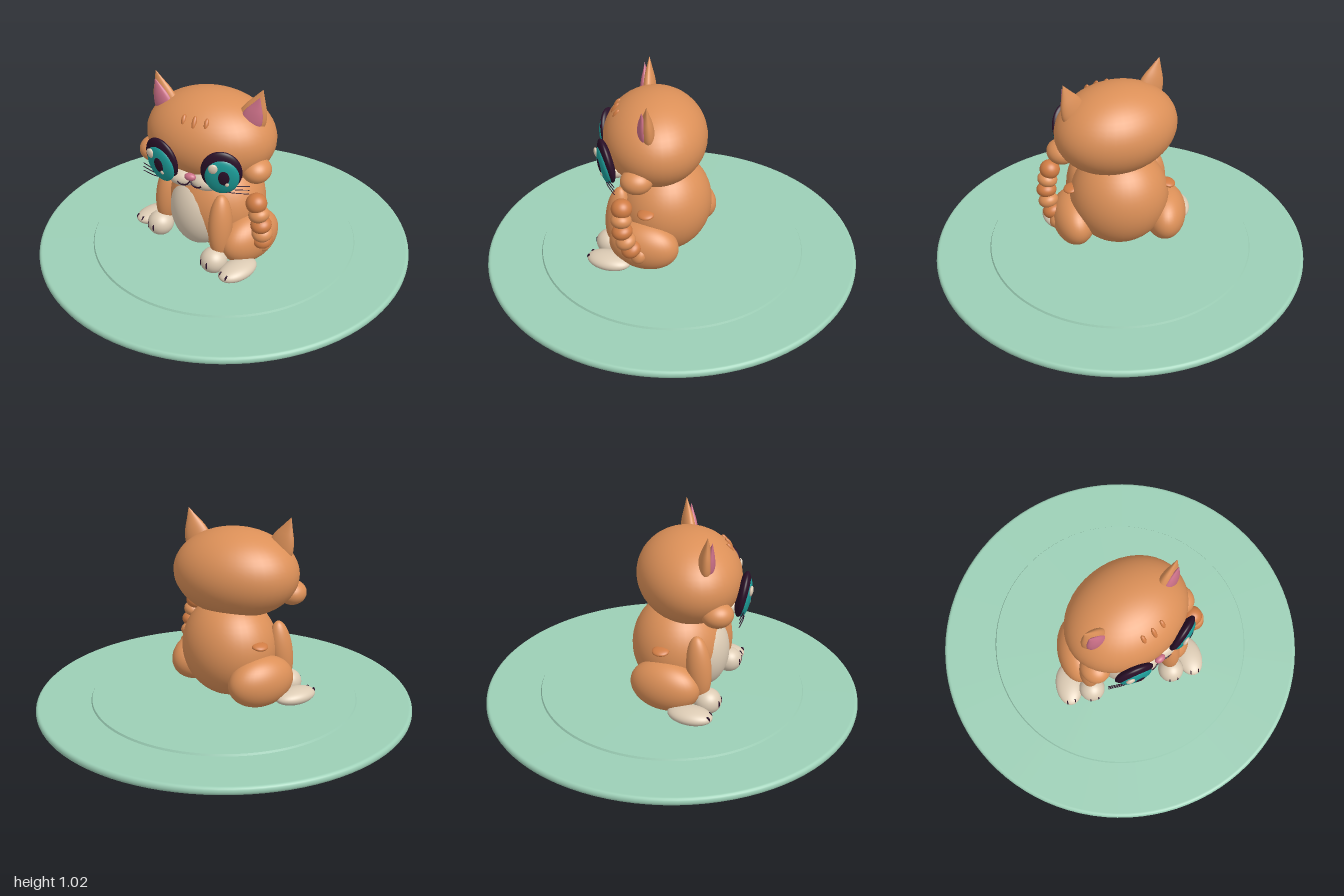
import * as THREE from 'three';

const mat = (name, color, side = THREE.FrontSide) => {
  const m = new THREE.MeshStandardMaterial({ color, side });
  m.name = name;
  return m;
};

export function createModel() {
  const orange = mat('orange fur', 0xdc9058);
  const darkOrange = mat('dark orange stripe', 0xd07c44);
  const cream = mat('cream fur', 0xdccbb4);
  const pink = mat('pink', 0xcc7088);
  const teal = mat('teal iris', 0x1c9c98);
  const dark = mat('dark plum', 0x2a1028);
  const mint = mat('mint plate', 0x9ccfb6);

  const model = new THREE.Group();
  model.name = 'kittenOnPlate';
  const ball = new THREE.SphereGeometry(1, 40, 28);

  const add = (parent, name, geometry, material, pos = [0, 0, 0], rot = [0, 0, 0], scale = [1, 1, 1]) => {
    const mesh = new THREE.Mesh(geometry, material);
    mesh.name = name;
    mesh.position.set(...pos);
    mesh.rotation.set(...rot);
    mesh.scale.set(...scale);
    parent.add(mesh);
    return mesh;
  };
  const blob = (parent, name, material, pos, radii, rot) => add(parent, name, ball, material, pos, rot, radii);
  const lathe = (points, segments) =>
    new THREE.LatheGeometry(points.map(([x, y]) => new THREE.Vector2(x, y)), segments);
  const tube = (points, radius) => new THREE.TubeGeometry(
    new THREE.CatmullRomCurve3(points.map(p => new THREE.Vector3(...p))), 16, radius, 6);

  // Plate with a rounded rim and a raised centre
  const rim = [[0, 0.004], [0.98, 0.004]];
  for (let i = 0; i <= 8; i++) {
    const a = -Math.PI / 2 + Math.PI * i / 8;
    rim.push([0.985 + 0.015 * Math.cos(a), 0.025 + 0.02 * Math.sin(a)]);
  }
  rim.push([0.98, 0.045], [0, 0.045]);
  add(model, 'plate', lathe(rim, 96), mint);
  add(model, 'plateCentre', new THREE.CylinderGeometry(0.705, 0.71, 0.01, 96), mint, [0, 0.05, 0]);
  add(model, 'plateFoot', new THREE.CylinderGeometry(0.43, 0.43, 0.006, 64), mint, [0, 0.003, 0]);

  // Body
  const body = new THREE.Group();
  body.name = 'body';
  model.add(body);
  blob(body, 'torso', orange, [0, 0.32, 0.04], [0.265, 0.27, 0.245]);
  blob(body, 'belly', cream, [0, 0.29, 0.17], [0.165, 0.2, 0.14]);

  // Limbs and side stripes, mirrored
  for (const s of [-1, 1]) {
    blob(body, 'haunch', orange, [s * 0.25, 0.19, 0.04], [0.115, 0.135, 0.19], [0, s * 0.12, 0]);
    blob(body, 'frontLeg', orange, [s * 0.218, 0.3, 0.21], [0.058, 0.175, 0.065], [-0.1, 0, s * 0.06]);
    blob(body, 'frontPaw', cream, [s * 0.225, 0.12, 0.26], [0.07, 0.068, 0.072]);
    blob(body, 'hindFoot', cream, [s * 0.342, 0.095, 0.2], [0.074, 0.043, 0.12], [0, s * 0.1, 0]);
    for (const t of [-0.022, 0.022]) {
      blob(body, 'frontToeLine', dark, [s * 0.225 + t, 0.122, 0.326], [0.0035, 0.02, 0.006]);
      blob(body, 'hindToeLine', dark, [s * 0.352 + t, 0.108, 0.305], [0.0035, 0.015, 0.008], [-0.4, 0, 0]);
    }
    blob(body, 'sideStripe', darkOrange, [s * 0.26, 0.39, 0.02], [0.04, 0.016, 0.045], [0, 0, -s * 0.2]);
  }

  // Ringed tail curling upward on the left side
  const tail = new THREE.Group();
  tail.name = 'tail';
  model.add(tail);
  const tailPath = new THREE.CatmullRomCurve3([
    [0.25, 0.15, -0.06], [0.335, 0.19, 0.03], [0.375, 0.265, 0.065],
    [0.388, 0.36, 0.09], [0.365, 0.465, 0.1],
  ].map(p => new THREE.Vector3(...p)));
  for (let i = 0; i < 8; i++) {
    const p = tailPath.getPointAt(i / 7);
    const d = tailPath.getTangentAt(i / 7);
    const ring = blob(tail, 'tailRing', i % 2 ? darkOrange : orange, p.toArray(),
      [0.054, i === 7 ? 0.052 : 0.042, 0.054]);
    ring.quaternion.setFromUnitVectors(new THREE.Vector3(0, 1, 0), d);
  }

  // Head, turned toward its left
  const head = new THREE.Group();
  head.name = 'head';
  head.position.set(0.01, 0.713, 0.09);
  head.rotation.y = 0.46;
  model.add(head);
  blob(head, 'skull', orange, [0, 0, 0], [0.34, 0.235, 0.27]);

  // Pointed ear profile
  const earCurve = new THREE.SplineCurve([[0.001, -0.045], [0.055, -0.025], [0.073, 0.025],
    [0.058, 0.09], [0.028, 0.15], [0, 0.205]].map(([x, y]) => new THREE.Vector2(x, y)));
  const earGeometry = new THREE.LatheGeometry(
    earCurve.getPoints(20).map(p => p.setX(Math.max(p.x, 0))), 32);

  for (const s of [-1, 1]) {
    // Ear with pink inside
    const ear = new THREE.Group();
    ear.name = 'ear';
    ear.position.set(s * 0.222, 0.115, 0.035);
    ear.rotation.set(0.05, s * 0.15, -s * 0.33);
    head.add(ear);
    add(ear, 'outerEar', earGeometry, orange, [0, 0, 0], [0, 0, 0], [1, 1, 0.5]);
    add(ear, 'innerEar', earGeometry, pink, [0, 0.008, 0.02], [0.03, 0, 0], [0.77, 0.8, 0.38]);

    // Layered eye
    const eye = new THREE.Group();
    eye.name = 'eye';
    eye.position.set(s * 0.16, -0.06, 0.245);
    eye.rotation.set(0.18, s * 0.3, 0, 'YXZ');
    head.add(eye);
    blob(eye, 'eyeRim', dark, [0, 0, 0], [0.102, 0.122, 0.032]);
    blob(eye, 'iris', teal, [0.004, -0.017, 0.016], [0.085, 0.105, 0.03]);
    blob(eye, 'pupilRing', dark, [0.012, -0.01, 0.034], [0.038, 0.054, 0.0145]);
    blob(eye, 'largeGlint', cream, [-0.036, 0.042, 0.035], [0.024, 0.028, 0.012]);
    blob(eye, 'smallGlint', cream, [0.03, -0.045, 0.041], [0.011, 0.013, 0.008]);

    // Cheek and muzzle
    blob(head, 'cheek', orange, [s * 0.282, -0.105, 0.09], [0.075, 0.065, 0.082]);
    blob(head, 'muzzle', cream, [s * 0.062, -0.152, 0.2], [0.085, 0.05, 0.072]);

    // Smile
    add(head, 'smile', tube([[0, -0.142, 0.262], [s * 0.018, -0.163, 0.266],
      [s * 0.045, -0.166, 0.27], [s * 0.066, -0.152, 0.273]], 0.004), dark);

    // Whiskers
    for (const k of [-1, 0, 1]) {
      add(head, 'whisker', tube([[s * 0.11, -0.148 + k * 0.012, 0.25],
        [s * 0.2, -0.15 + k * 0.018, 0.245], [s * 0.29, -0.16 + k * 0.022, 0.2]], 0.0022), dark);
    }
  }
  blob(head, 'nose', pink, [0, -0.118, 0.262], [0.03, 0.02, 0.02]);

  // Forehead stripes
  for (const k of [-1, 0, 1]) {
    blob(head, 'foreheadStripe', darkOrange, [k * 0.06, 0.153, k ? 0.195 : 0.203],
      [0.012, k ? 0.028 : 0.034, 0.013], [-0.55, 0, 0]);
  }
  return model;
}
